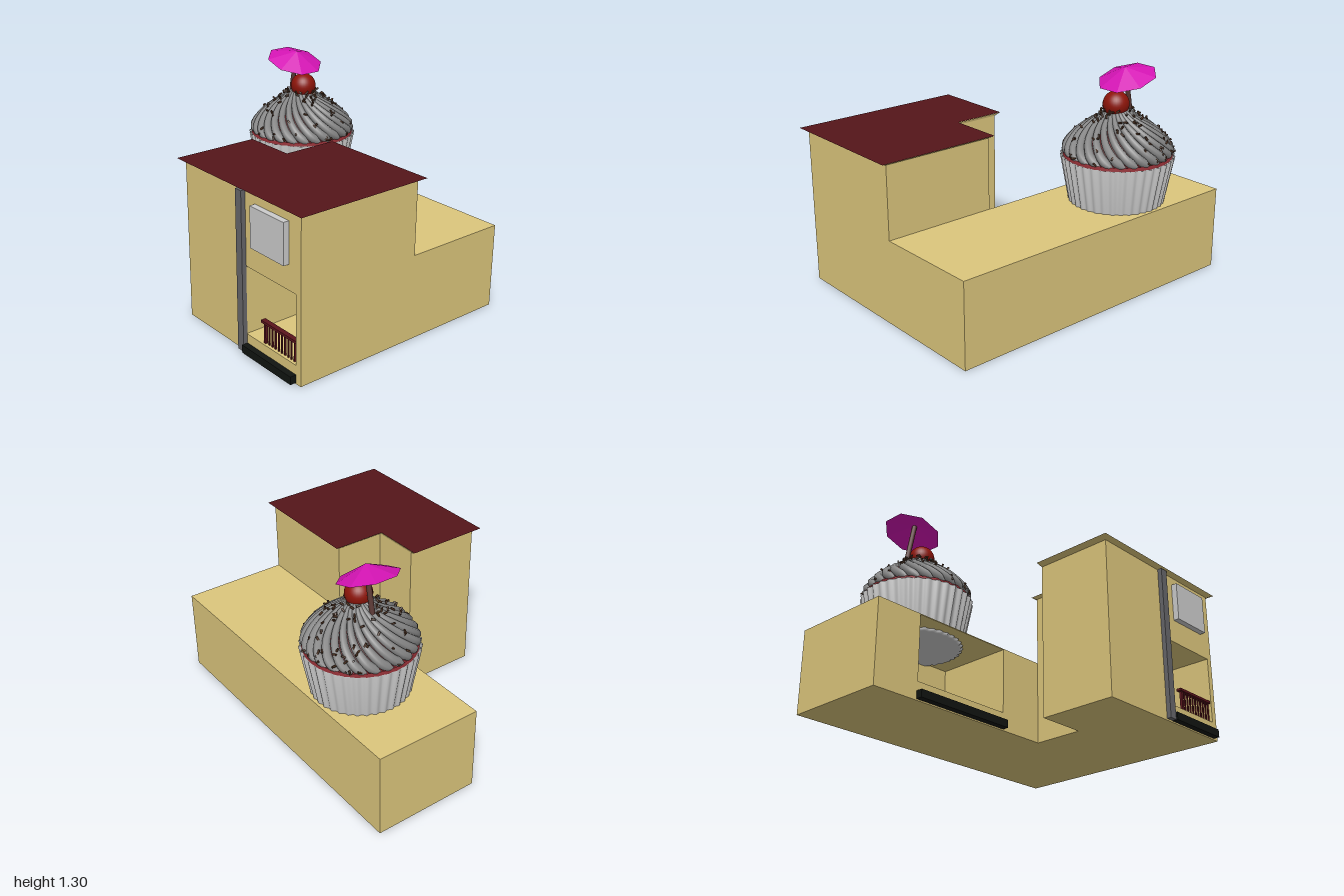
import * as THREE from 'three';

const mat = (color, extra = {}) => {
  const m = new THREE.MeshStandardMaterial({ color });
  return Object.assign(m, extra);
};
const WALL = mat(0xdcc67c), ROOF = mat(0x55151a), TRIM = mat(0x111411), GREY = mat(0xcccccc);
const PILLAR = mat(0x66666a), RAIL = mat(0x5a141c), CREAM = mat(0x858585), CAKE = mat(0x8a2c32);
const CHERRY = mat(0x8c1409), STICK = mat(0x5a3834), SPRINKLE = mat(0x4a3020);
const CANOPY = mat(0xd414b4, { side: THREE.DoubleSide, flatShading: true });
const WRAPPER = mat(0xcccccc, { side: THREE.DoubleSide });

const add = (parent, name, geo, material) => {
  const mesh = new THREE.Mesh(geo, material);
  mesh.name = name;
  parent.add(mesh);
  return mesh;
};

// Box given by its limits on each axis
const box = (parent, name, [x0, x1], [y0, y1], [z0, z1], material) => {
  const mesh = add(parent, name, new THREE.BoxGeometry(x1 - x0, y1 - y0, z1 - z0), material);
  mesh.position.set((x0 + x1) / 2, (y0 + y1) / 2, (z0 + z1) / 2);
  return mesh;
};

const rectPath = (Type, [x0, x1], [y0, y1]) => new Type([[x0, y0], [x1, y0], [x1, y1], [x0, y1]]
  .map(([x, y]) => new THREE.Vector2(x, y)));

// Front wall volume with a rectangular niche through it
const niched = (parent, name, xs, ys, [z0, z1], holeX, holeY) => {
  const shape = rectPath(THREE.Shape, xs, ys);
  shape.holes.push(rectPath(THREE.Path, holeX, holeY));
  const geo = new THREE.ExtrudeGeometry(shape, { depth: z1 - z0, bevelEnabled: false });
  geo.translate(0, 0, z0);
  return add(parent, name, geo, WALL);
};

function buildRoof(parent) {
  // L-shaped slab whose edges flare outward to the top
  const low = [[-0.04, 0.72], [0.96, 0.72], [0.96, -0.07], [0.26, -0.07], [0.26, 0.24], [-0.04, 0.24]];
  const high = [[-0.08, 0.752], [1, 0.752], [1, -0.098], [0.24, -0.098], [0.24, 0.235], [-0.08, 0.235]];
  const pos = [];
  low.forEach((a, i) => {
    const j = (i + 1) % low.length;
    const A = [a[0], 0.945, a[1]], B = [low[j][0], 0.945, low[j][1]];
    const C = [high[j][0], 0.96, high[j][1]], D = [high[i][0], 0.96, high[i][1]];
    pos.push(...A, ...B, ...C, ...A, ...C, ...D);
  });
  const edge = new THREE.BufferGeometry();
  edge.setAttribute('position', new THREE.Float32BufferAttribute(pos, 3));
  edge.computeVertexNormals();
  add(parent, 'roofEdge', edge, WALL);
  const top = new THREE.ShapeGeometry(new THREE.Shape(high.map(([x, z]) => new THREE.Vector2(x, -z))));
  top.rotateX(-Math.PI / 2).translate(0, 0.961, 0);
  add(parent, 'roofTop', top, ROOF);
}

function buildHouse(parent) {
  // Long low block with a display niche
  niched(parent, 'lowBlockFront', [-1, 0.96], [0, 0.51], [-0.57, -0.07], [-0.7, -0.04], [0.11, 0.505]);
  box(parent, 'lowBlockBack', [-1, 0.96], [0, 0.51], [-0.72, -0.57], WALL);
  // Tall wing with a porch niche
  niched(parent, 'towerFront', [-0.04, 0.96], [0, 0.947], [0.24, 0.72], [0.5, 0.922], [0.11, 0.515]);
  box(parent, 'towerBack', [0.26, 0.96], [0, 0.947], [-0.07, 0.24], WALL);
  buildRoof(parent);

  // Plinths, pillar, sign panel and door
  box(parent, 'leftStep', [-0.705, -0.04], [0.008, 0.055], [-0.07, -0.03], TRIM);
  box(parent, 'rightStep', [0.505, 0.922], [0.008, 0.055], [0.72, 0.757], TRIM);
  box(parent, 'pillar', [0.455, 0.505], [0.01, 0.947], [0.72, 0.747], PILLAR);
  box(parent, 'signPanel', [0.59, 0.865], [0.66, 0.895], [0.72, 0.755], GREY);
  box(parent, 'door', [0.515, 0.632], [0.12, 0.375], [0.24, 0.255], GREY);

  // Porch railing
  box(parent, 'handrail', [0.62, 0.922], [0.228, 0.243], [0.685, 0.715], RAIL);
  box(parent, 'railPost', [0.636, 0.652], [0.11, 0.228], [0.692, 0.708], RAIL);
  for (let i = 0; i < 10; i++) {
    const x = 0.675 + i * 0.0265;
    box(parent, 'baluster', [x - 0.004, x + 0.004], [0.11, 0.228], [0.696, 0.704], RAIL);
  }
}

function buildCupcake(parent) {
  const cake = new THREE.Group();
  cake.name = 'cupcake';
  cake.position.set(-0.43, 0, -0.42);
  parent.add(cake);

  // Pleated paper cup
  const cup = new THREE.LatheGeometry([[0.001, 0.49], [0.265, 0.49], [0.278, 0.5], [0.331, 0.79], [0.3, 0.785]]
    .map(([r, y]) => new THREE.Vector2(r, y)), 216);
  const p = cup.attributes.position;
  for (let i = 0; i < p.count; i++) {
    const k = 1 + 0.02 * Math.cos(36 * Math.atan2(p.getZ(i), p.getX(i)));
    p.setXYZ(i, p.getX(i) * k, p.getY(i), p.getZ(i) * k);
  }
  cup.computeVertexNormals();
  add(cake, 'paperCup', cup, WRAPPER);

  // Dome profile shared by the sponge and the icing
  const profile = new THREE.CatmullRomCurve3([[0.302, 0.79], [0.297, 0.835], [0.25, 0.9], [0.175, 0.965],
    [0.1, 1.015], [0.055, 1.05], [0.02, 1.065]].map(([r, y]) => new THREE.Vector3(r, y, 0)));
  const sponge = profile.getPoints(20).map(v => new THREE.Vector2(Math.max(v.x - 0.004, 0.001), v.y));
  sponge.unshift(new THREE.Vector2(0.322, 0.785), new THREE.Vector2(0.318, 0.81));
  add(cake, 'sponge', new THREE.LatheGeometry(sponge, 48), CAKE);

  // Twisted, tapering icing ropes
  const strands = 26, steps = 28, sides = 8;
  const onDome = (t, a, out = 0) => {
    const v = profile.getPoint(t), ang = a + 1.35 * t;
    return new THREE.Vector3(Math.cos(ang) * (v.x + out), v.y + out * t, Math.sin(ang) * (v.x + out));
  };
  for (let s = 0; s < strands; s++) {
    const a = s / strands * Math.PI * 2;
    const pts = [];
    for (let i = 0; i <= 12; i++) pts.push(onDome(0.04 + 0.96 * i / 12, a, 0.004));
    const path = new THREE.CatmullRomCurve3(pts);
    const rope = new THREE.TubeGeometry(path, steps, 0.03, sides);
    const q = rope.attributes.position, v = new THREE.Vector3();
    for (let i = 0; i < q.count; i++) {
      const t = Math.floor(i / (sides + 1)) / steps;
      const c = path.getPointAt(t);
      const k = (1 - 0.6 * t) * Math.min(1, 0.25 + t * 8);
      v.fromBufferAttribute(q, i).sub(c).multiplyScalar(k).add(c);
      q.setXYZ(i, v.x, v.y, v.z);
    }
    add(cake, 'icingRope', rope, CREAM);
  }

  // Scattered sprinkles
  let seed = 7;
  const rnd = () => (seed = (seed * 16807) % 2147483647) / 2147483647;
  const bit = new THREE.CylinderGeometry(0.006, 0.006, 0.024, 6);
  for (let i = 0; i < 110; i++) {
    const m = add(cake, 'sprinkle', bit, SPRINKLE);
    m.position.copy(onDome(0.1 + 0.75 * rnd(), rnd() * 6.283, 0.026));
    m.rotation.set(rnd() * 3, rnd() * 3, rnd() * 3);
  }

  add(cake, 'cherry', new THREE.SphereGeometry(0.078, 32, 20), CHERRY).position.set(0.02, 1.095, 0.005);

  // Tilted paper parasol
  const parasol = new THREE.Group();
  parasol.name = 'parasol';
  parasol.position.set(-0.115, 0.95, 0.005);
  parasol.rotation.z = -0.19;
  cake.add(parasol);
  add(parasol, 'parasolStick', new THREE.CylinderGeometry(0.015, 0.015, 0.36, 12), STICK).position.y = 0.17;
  const canopy = add(parasol, 'parasolCanopy',
    new THREE.ConeGeometry(0.176, 0.07, 8, 1, true, Math.PI / 8), CANOPY);
  canopy.position.set(-0.002, 0.325, 0);
  canopy.rotation.z = -0.12;
}

export function createModel() {
  const model = new THREE.Group();
  model.name = 'cupcakeShop';
  buildHouse(model);
  buildCupcake(model);
  return model;
}
